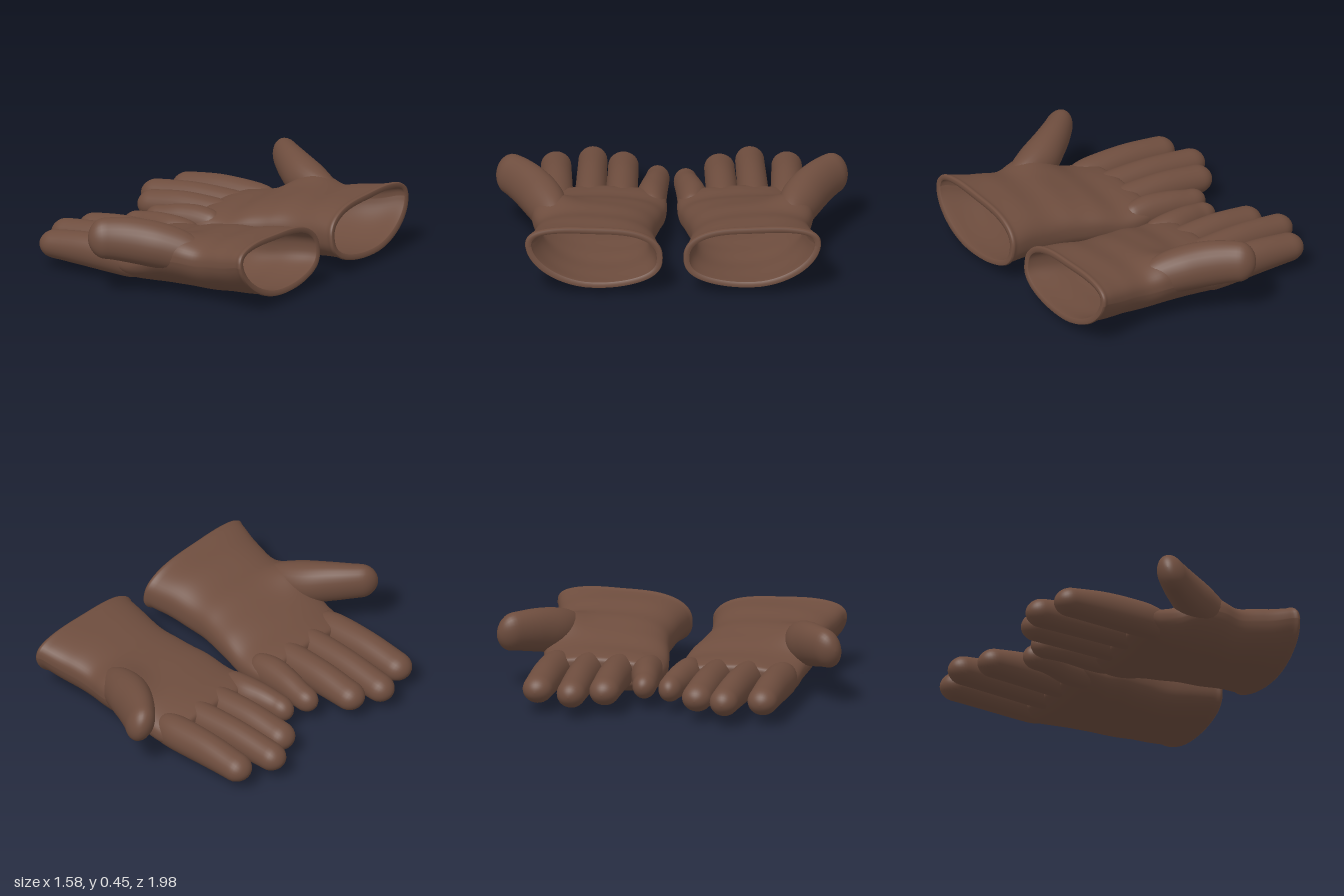
import * as THREE from 'three';

const leather = new THREE.MeshStandardMaterial({ color: 0x6e4d3e, side: THREE.DoubleSide });
leather.name = 'brown leather';

// Catmull-Rom interpolation of every column of a short table of sections
function sample(rows, t) {
  const n = rows.length - 1;
  const f = Math.min(t, 0.99999) * n;
  const i = Math.floor(f), k = f - i;
  const [p, a, b, q] = [rows[Math.max(i - 1, 0)], rows[i], rows[i + 1], rows[Math.min(i + 2, n)]];
  return a.map((v, c) => {
    const m0 = (b[c] - p[c]) / 2, m1 = (q[c] - v) / 2, d = b[c] - v;
    return v + k * (m0 + k * (3 * d - 2 * m0 - m1 + k * (m0 + m1 - 2 * d)));
  });
}

// Skin over closed rings of points; flip mirrors the shape in z
function loft(rings, flip) {
  const n = rings[0].length, pos = [], idx = [];
  for (const ring of rings) for (const p of ring) pos.push(p.x, p.y, flip ? -p.z : p.z);
  for (let i = 0; i < rings.length - 1; i++) {
    for (let j = 0; j < n; j++) {
      const a = i * n + j, b = i * n + (j + 1) % n, c = a + n, d = b + n;
      if (flip) idx.push(a, c, b, b, c, d);
      else idx.push(a, b, c, b, d, c);
    }
  }
  const g = new THREE.BufferGeometry();
  g.setAttribute('position', new THREE.Float32BufferAttribute(pos, 3));
  g.setIndex(idx);
  g.computeVertexNormals();
  return g;
}

// Round-ended limb; rows are [x, y, z, half width, half height]
function limb(rows, up, capStart, capEnd, flip) {
  const M = 160, N = 40, S = 28, rings = [];
  const at = t => new THREE.Vector3(...sample(rows, t).slice(0, 3));
  // arc length along the centre line
  const arc = [0];
  for (let i = 1; i <= M; i++) arc.push(arc[i - 1] + at((i - 1) / M).distanceTo(at(i / M)));
  const length = arc[M];
  const round = (s, c) => s < c ? Math.sqrt(Math.max(0, 1 - (1 - s / c) ** 2)) : 1;
  for (let i = 0; i <= N; i++) {
    const s = length * (0.5 - 0.5 * Math.cos(Math.PI * i / N));
    let m = 0;
    while (m < M - 1 && arc[m + 1] < s) m++;
    const t = (m + (s - arc[m]) / (arc[m + 1] - arc[m])) / M;
    const [, , , w, h] = sample(rows, t);
    const c = at(t);
    const dir = at(Math.min(t + 0.01, 1)).sub(at(Math.max(t - 0.01, 0))).normalize();
    const v = up.clone().addScaledVector(dir, -up.dot(dir)).normalize();
    const u = v.clone().cross(dir);
    const f = Math.max(0.005, round(s, capStart) * round(length - s, capEnd));
    rings.push(Array.from({ length: S }, (_, j) => {
      const a = j / S * 2 * Math.PI;
      return c.clone().addScaledVector(u, w * f * Math.cos(a)).addScaledVector(v, h * f * Math.sin(a));
    }));
  }
  return loft(rings, flip);
}

// Hollow hand and cuff: [x, z centre, half width, y centre, half height, lift on thumb side]
const SECTIONS = [
  [-0.205, 0.37, 0.31, 0.14, 0.04, 0],
  [-0.19, 0.37, 0.345, 0.14, 0.08, 0],
  [-0.1, 0.37, 0.357, 0.13, 0.115, 0.01],
  [0.02, 0.38, 0.357, 0.13, 0.13, 0.04],
  [0.15, 0.41, 0.365, 0.157, 0.146, 0.08],
  [0.29, 0.425, 0.35, 0.174, 0.16, 0.08],
  [0.42, 0.42, 0.33, 0.183, 0.165, 0.065],
  [0.57, 0.425, 0.345, 0.203, 0.17, 0.07],
  [0.72, 0.43, 0.375, 0.22, 0.168, 0.09],
  [0.77, 0.43, 0.38, 0.222, 0.168, 0.09],
];

function shell(flip) {
  const S = 64, rings = [];
  const ring = (t, inset, scale = 1) => {
    const [x, zc, hz, yc, hy, lift] = sample(SECTIONS, t);
    const hem = 0.008 * Math.exp(-(((x - 0.755) / 0.014) ** 2)) * (inset ? 0 : 1);
    const slant = THREE.MathUtils.smoothstep(x, 0.4, 0.77) * 0.13;
    rings.push(Array.from({ length: S }, (_, j) => {
      const a = j / S * 2 * Math.PI, c = Math.cos(a), s = Math.sin(a);
      const k = Math.sign(s) * Math.abs(s) ** 0.85;
      const z = zc + scale * (hz - inset + hem) * k;
      // the lower edge rises toward the thumb, with soft creases in the leather
      const rise = lift * Math.max(0, k) ** 2 * (c < 0 ? 1 : 0.75 - 0.25 * c);
      const crease = 0.004 * Math.sin(9 * z + 11 * x) * Math.sin(14 * x - 5 * z);
      // mound of the palm below the thumb
      const mound = 0.06 * Math.max(0, c) ** 0.5
        * Math.exp(-(((x - 0.2) / 0.13) ** 2) - ((z - 0.68) / 0.13) ** 2);
      const y = yc + scale * (hy - inset + hem) * Math.sign(c) * Math.abs(c) ** 0.8 + rise + crease + mound;
      return new THREE.Vector3(x - (y - 0.2) * slant, y, z);
    }));
  };
  const N = 60;
  ring(0, 0, 0.01);
  for (let i = 0; i <= N; i++) ring(i / N, 0);
  ring(1, 0.012);
  // lining, folded back inside
  for (let i = N - 1; i >= 15; i--) ring(i / N, 0.026);
  ring(15 / N, 0.026, 0.01);
  return loft(rings, flip);
}

// [name, base z, tip z, base half width, tip half width]
const FINGERS = [
  ['littleFinger', 0.1, 0.065, 0.086, 0.068],
  ['ringFinger', 0.268, 0.255, 0.09, 0.086],
  ['middleFinger', 0.443, 0.426, 0.089, 0.082],
  ['indexFinger', 0.633, 0.633, 0.094, 0.086],
];

function glove(name, flip, tips) {
  const group = new THREE.Group();
  group.name = name;
  const add = (part, geometry) => {
    const mesh = new THREE.Mesh(geometry, leather);
    mesh.name = part;
    group.add(mesh);
  };
  add('handAndCuff', shell(flip));

  const up = new THREE.Vector3(0, 1, 0);
  FINGERS.forEach(([part, z0, z1, w0, w1], i) => {
    const tip = tips[i], mid = (tip - 0.1) / 2;
    add(part, limb([
      [-0.01, 0.13, z0, w0 * 0.7, 0.075],
      [-0.1, 0.135, z0, w0 * 0.9, 0.096],
      [-0.2, 0.142, z0, w0, 0.101],
      [mid, 0.147, (z0 + z1) / 2, (w0 + w1) / 2, i ? 0.098 : 0.088],
      [tip + 0.1, 0.139, z1, w1, i ? 0.082 : 0.074],
      [tip, 0.132, z1, w1, 0.074],
    ], up, 0.08, 0.085, flip));
  });

  // thumb stands on edge, leaning in over the palm
  add('thumb', limb([
    [0.42, 0.245, 0.645, 0.04, 0.05],
    [0.28, 0.262, 0.665, 0.09, 0.108],
    [0.14, 0.288, 0.71, 0.113, 0.128],
    [0.01, 0.315, 0.785, 0.1, 0.128],
    [-0.1, 0.33, 0.868, 0.084, 0.118],
    [-0.188, 0.332, 0.955, 0.07, 0.108],
  ], new THREE.Vector3(0, 1, -0.4), 0.1, 0.09, flip));
  return group;
}

export function createModel() {
  const model = new THREE.Group();
  model.name = 'pairOfGloves';
  model.add(glove('frontGlove', false, [-0.55, -0.72, -0.79, -0.725]));
  const back = glove('backGlove', true, [-0.51, -0.69, -0.785, -0.715]);
  back.position.z = -0.03;
  model.add(back);
  return model;
}
